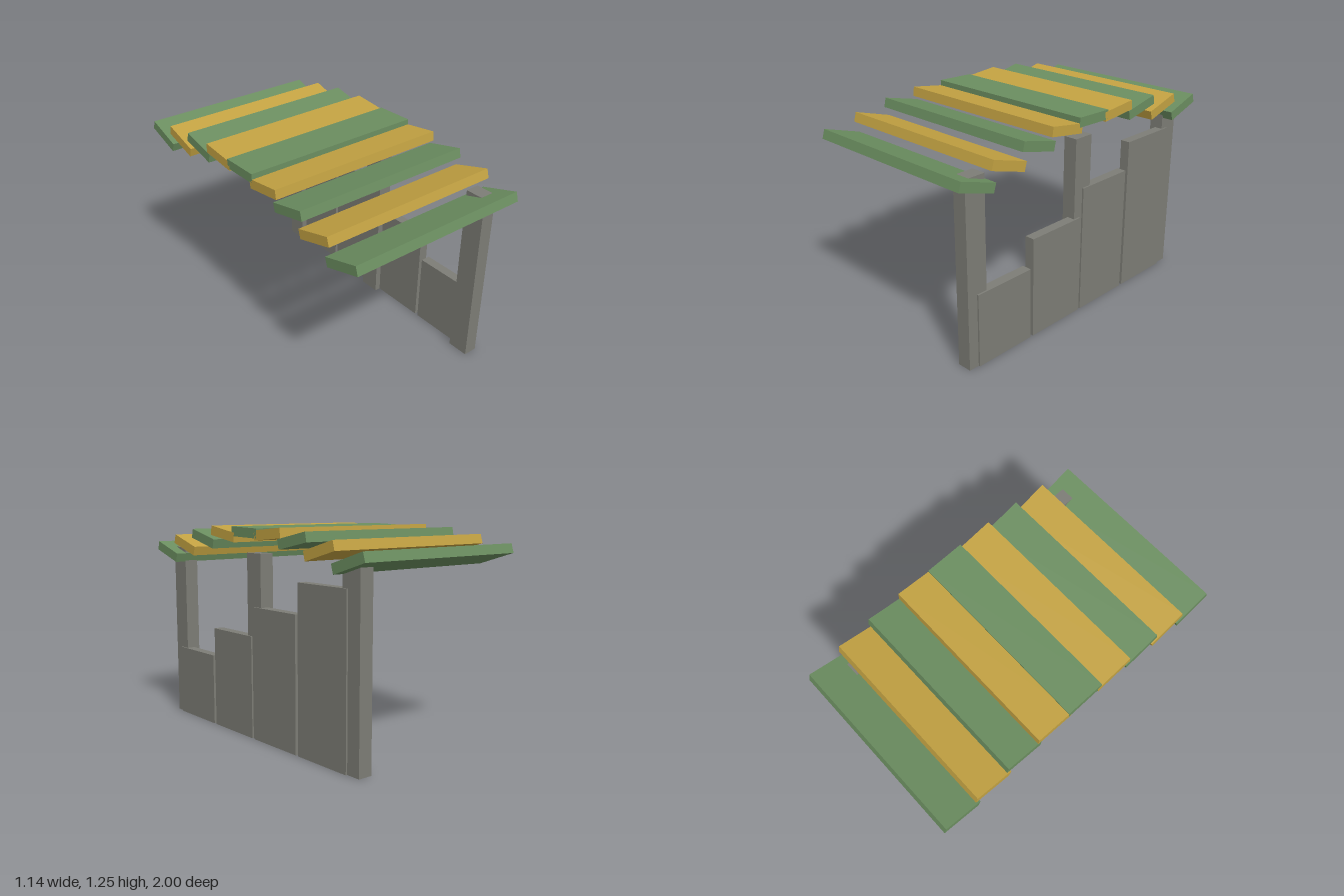
import * as THREE from 'three';

const mat = (name, color) => {
  const m = new THREE.MeshStandardMaterial({ color });
  m.name = name;
  return m;
};

export function createModel() {
  const model = new THREE.Group();
  model.name = 'shelter';
  const green = mat('green paint', 0x6b8e60);
  const gold = mat('gold paint', 0xc3a242);
  const grey = mat('grey concrete', 0x7d7d76);

  // Box given by its extents on each axis
  const block = (name, x0, x1, y0, y1, z0, z1) => {
    const mesh = new THREE.Mesh(new THREE.BoxGeometry(x1 - x0, y1 - y0, z1 - z0), grey);
    mesh.position.set((x0 + x1) / 2, (y0 + y1) / 2, (z0 + z1) / 2);
    mesh.name = name;
    model.add(mesh);
  };

  // Roof slats from front to back: z, y, tilt in degrees
  const slats = [
    [0.876, 1.068, 17], [0.659, 1.12, 16.5], [0.441, 1.167, 13.5],
    [0.222, 1.202, 8.5], [0.003, 1.217, 1.5], [-0.217, 1.213, -5],
    [-0.437, 1.186, -11.5], [-0.656, 1.144, -15.5], [-0.876, 1.095, -17.3],
  ];
  const slatGeometry = new THREE.BoxGeometry(1.136, 0.056, 0.241);
  slats.forEach(([z, y, tilt], i) => {
    const slat = new THREE.Mesh(slatGeometry, i % 2 ? gold : green);
    slat.position.set(0, y, z);
    slat.rotation.x = -THREE.MathUtils.degToRad(tilt);
    slat.name = 'roofSlat' + (i + 1);
    model.add(slat);
  });

  // Three posts along the left side
  [['frontPost', 0.833], ['middlePost', 0.003], ['backPost', -0.829]].forEach(([name, z]) =>
    block(name, 0.414, 0.5, 0, 1.097, z - 0.066, z + 0.066));

  // Wall panels stepping up towards the back
  for (let i = 0; i < 4; i++) {
    const z = 0.835 - i * 0.4155;
    block('wallPanel' + (i + 1), 0.451, 0.51, 0, 0.438 + i * 0.175, z - 0.394, z);
  }
  return model;
}
